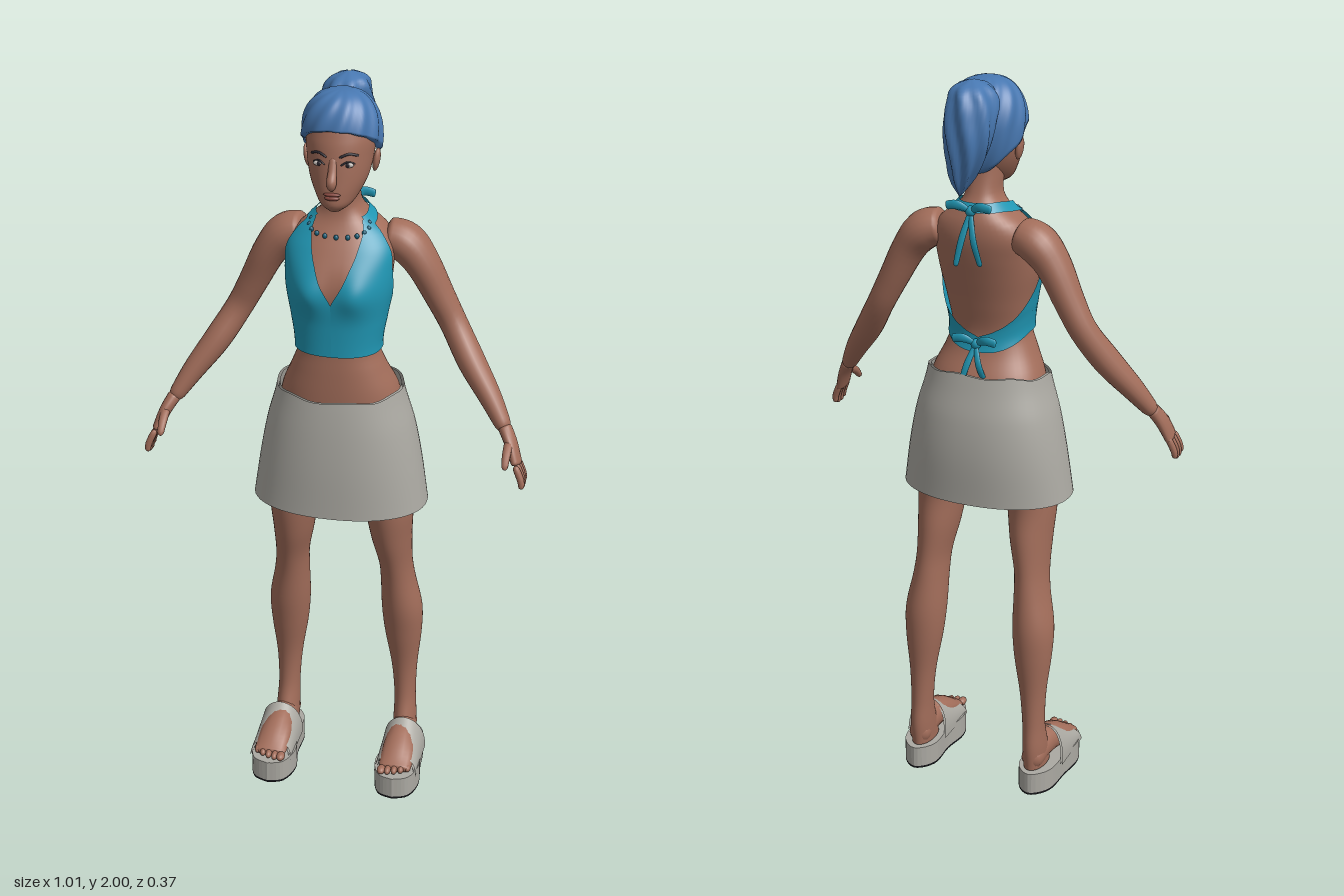
import * as THREE from 'three';

const mat = (name, color, side = THREE.FrontSide) => {
  const m = new THREE.MeshStandardMaterial({ color, side });
  m.name = name;
  return m;
};
const V = (x, y, z) => new THREE.Vector3(x, y, z);
const lerp = THREE.MathUtils.lerp, smooth = THREE.MathUtils.smoothstep;

// Smooth interpolation of rows [key, ...values] along the key
function profile(rows) {
  const slope = (i, k) => {
    const a = rows[Math.max(i - 1, 0)], b = rows[Math.min(i + 1, rows.length - 1)];
    return (b[k] - a[k]) / (b[0] - a[0]);
  };
  return y => {
    let i = 0;
    while (i < rows.length - 2 && y > rows[i + 1][0]) i++;
    const a = rows[i], b = rows[i + 1], h = b[0] - a[0];
    const t = THREE.MathUtils.clamp((y - a[0]) / h, 0, 1), t2 = t * t, t3 = t2 * t;
    return a.slice(1).map((p, k) => p * (2 * t3 - 3 * t2 + 1) + b[k + 1] * (3 * t2 - 2 * t3)
      + h * slope(i, k + 1) * (t3 - 2 * t2 + t) + h * slope(i + 1, k + 1) * (t3 - t2));
  };
}

// Surface from a rule fn(u, v); u runs around, v along
function grid(name, material, fn, nu, nv, closed = true) {
  const pos = [], idx = [], cols = closed ? nu : nu + 1;
  for (let j = 0; j <= nv; j++) for (let i = 0; i < cols; i++) pos.push(...fn(i / nu, j / nv).toArray());
  for (let j = 0; j < nv; j++) for (let i = 0; i < nu; i++) {
    const a = j * cols + i, b = j * cols + (i + 1) % cols;
    idx.push(a, b, b + cols, a, b + cols, a + cols);
  }
  const g = new THREE.BufferGeometry();
  g.setAttribute('position', new THREE.Float32BufferAttribute(pos, 3));
  g.setIndex(idx);
  g.computeVertexNormals();
  const m = new THREE.Mesh(g, material);
  m.name = name;
  return m;
}

// Point on a horizontal ring [centreX, radiusX, frontZ, backZ]
function ring([cx, rx, zf, zb], y, a, off = 0, n = 2) {
  const pw = c => Math.sign(c) * Math.abs(c) ** (2 / n);
  return V(cx + (rx + off) * pw(Math.sin(a)), y, (zf + zb) / 2 + ((zf - zb) / 2 + off) * pw(Math.cos(a)));
}
function rings(name, material, rows, n = 2, ripple = () => 0) {
  const at = profile(rows), y0 = rows[0][0], y1 = rows[rows.length - 1][0];
  return grid(name, material, (u, v) => {
    const y = lerp(y0, y1, v), a = u * Math.PI * 2;
    return ring(at(y), y, a, ripple(a, y), n);
  }, 48, 48);
}

// Round-ended limb along points [x, y, z, radius towards ref, radius across]
function limb(name, material, pts, s = 1, ref = V(0, 0, 1), nu = 16, nv = 24, cap = 0.06) {
  const path = new THREE.CatmullRomCurve3(pts.map(p => V(s * p[0], p[1], p[2])), false, 'catmullrom');
  const rad = new THREE.CatmullRomCurve3(pts.map(p => V(p[3], p[4] ?? p[3], 0)), false, 'catmullrom');
  return grid(name, material, (u, v) => {
    const t = (1 - Math.cos(Math.PI * v)) / 2, e = Math.min(1, Math.min(t, 1 - t) / cap);
    const k = Math.sqrt(Math.max(1e-5, 1 - (1 - e) ** 2)), T = path.getTangent(t), r = rad.getPoint(t);
    const A = ref.clone().addScaledVector(T, -ref.dot(T)).normalize(), B = T.clone().cross(A);
    const a = u * Math.PI * 2;
    return path.getPoint(t).addScaledVector(A, k * r.x * Math.cos(a)).addScaledVector(B, k * r.y * Math.sin(a));
  }, nu, nv);
}
function ball(name, material, p, rx, ry, rz) {
  const m = new THREE.Mesh(new THREE.SphereGeometry(1, 16, 12), material);
  m.name = name;
  m.position.copy(p);
  m.scale.set(rx, ry, rz);
  return m;
}

export function createModel() {
  const model = new THREE.Group();
  model.name = 'woman';
  const add = (...m) => model.add(...m);
  const skin = mat('skin', 0xa26d5a), hair = mat('hair blue', 0x4777b0);
  const teal = mat('teal cloth', 0x2096b3, THREE.DoubleSide), grey = mat('light grey', 0xaba9a2, THREE.DoubleSide);
  const black = mat('black rubber', 0x17171b), dark = mat('dark brow', 0x2c2830), white = mat('eye white', 0xcfc8c2);
  const lip = mat('lips', 0x85483f), bead = mat('bead blue', 0x1b5f78);

  // Torso and neck
  const torsoAt = profile([[0.92, 0, 0.15, 0.08, -0.09], [1.0, 0, 0.17, 0.12, -0.12], [1.1, 0, 0.17, 0.13, -0.12],
    [1.2, 0, 0.152, 0.133, -0.092], [1.27, 0, 0.122, 0.132, -0.055], [1.32, 0, 0.105, 0.13, -0.045],
    [1.4, 0, 0.115, 0.131, -0.06], [1.48, 0, 0.13, 0.134, -0.08], [1.54, 0, 0.135, 0.122, -0.095],
    [1.59, 0, 0.135, 0.095, -0.103], [1.63, 0, 0.11, 0.068, -0.1], [1.66, 0, 0.07, 0.052, -0.088],
    [1.69, 0, 0.047, 0.046, -0.07], [1.74, 0, 0.044, 0.05, -0.056], [1.8, 0, 0.044, 0.05, -0.05]]);
  const torsoPoint = (a, y, off = 0) => {
    const p = ring(torsoAt(y), y, a, off, 2.3);
    if (Math.cos(a) > 0) p.z += 0.02 * Math.cos(a) * Math.exp(-(((Math.abs(p.x) - 0.065) / 0.045) ** 2) - ((y - 1.49) / 0.05) ** 2);
    return p;
  };
  add(grid('torso', skin, (u, v) => torsoPoint(u * Math.PI * 2, lerp(0.92, 1.8, v)), 48, 72));

  // Halter top: each row runs from the neckline to the open back
  const edge = profile([[1.32, 0, Math.PI], [1.36, 0, Math.PI], [1.39, 0, 2.3], [1.43, 0, 1.8], [1.465, 0, 1.6],
    [1.52, 0.17, 1.38], [1.57, 0.3, 1.22], [1.61, 0.42, 1.1], [1.64, 0.6, 1.1], [1.66, 0.8, 1.25]]);
  for (const s of [1, -1]) {
    add(grid('halterTop', teal, (u, v) => {
      const y = lerp(1.32, 1.66, v), [a, b] = edge(y);
      const t = Math.max(0, s > 0 ? lerp(a, b, u) : lerp(b, a, u));
      return torsoPoint(s * t, y - 0.045 * smooth(t, 1.5, 3.1), 0.009);
    }, 30, 40, false));
    add(grid('neckStrap', teal, (u, v) => {
      const t = s > 0 ? lerp(0.85, Math.PI, u) : lerp(Math.PI, 0.85, u);
      return torsoPoint(s * t, 1.645 + 0.015 * smooth(t, 0.8, 2.2) + 0.022 * v, 0.009);
    }, 24, 3, false));
  }

  // Bows at the neck and lower back
  for (const [y, z, len] of [[1.665, -0.1, 0.14], [1.3, -0.068, 0.1]]) {
    add(ball('bowKnot', teal, V(0, y, z), 0.014, 0.014, 0.012));
    for (const s of [1, -1]) {
      add(limb('bowLoop', teal, [[0, y, z, 0.005, 0.006], [0.03, y + 0.016, z - 0.012, 0.006, 0.012],
        [0.062, y + 0.012, z - 0.012, 0.006, 0.011]], s));
      add(limb('bowTail', teal, [[0, y, z, 0.004, 0.006], [0.016, y - len * 0.5, z - 0.02, 0.004, 0.009],
        [0.03, y - len, z - 0.018 - 0.01 * s, 0.004, 0.007]], s));
    }
  }

  // Beaded necklace
  for (let i = -5; i <= 5; i++) {
    const a = i * 0.2;
    add(ball('necklaceBead', bead, torsoPoint(a, 1.622 + 0.028 * (i / 5) ** 2, 0.004), 0.006, 0.007, 0.006));
  }

  // Skirt, open at the hem with a slightly uneven waist
  const skirtAt = profile([[0.87, 0, 0.235, 0.175, -0.138], [1.0, 0, 0.215, 0.171, -0.14], [1.1, 0, 0.195, 0.163, -0.13],
    [1.18, 0, 0.172, 0.152, -0.11], [1.24, 0, 0.16, 0.14, -0.095]]);
  const skirt = (name, off) => grid(name, grey, (u, v) => {
    const a = u * Math.PI * 2, y = lerp(0.87, 1.207 - 0.013 * Math.cos(a) + 0.003 * Math.sin(7 * a), v);
    return ring(skirtAt(y), y, a, off, 2.2);
  }, 56, 24);
  add(skirt('skirt', 0), skirt('skirtLining', -0.007));

  for (const s of [1, -1]) {
    // Legs and feet
    add(rings('leg', skin, [[0.07, 0.172, 0.031, 0.02, -0.1], [0.13, 0.172, 0.032, 0.0, -0.105], [0.2, 0.17, 0.03, -0.02, -0.1],
      [0.3, 0.167, 0.036, -0.02, -0.1], [0.42, 0.163, 0.052, 0.002, -0.109], [0.5, 0.16, 0.056, 0.018, -0.11],
      [0.6, 0.15, 0.047, 0.033, -0.097], [0.66, 0.145, 0.045, 0.048, -0.09], [0.75, 0.136, 0.055, 0.078, -0.086],
      [0.85, 0.131, 0.065, 0.1, -0.078], [0.97, 0.12, 0.07, 0.11, -0.1]].map(r => [r[0], s * r[1], ...r.slice(2)])));
    add(limb('foot', skin, [[0.172, 0.095, -0.1, 0.035, 0.03], [0.175, 0.11, 0, 0.042, 0.035], [0.178, 0.1, 0.07, 0.034, 0.045],
      [0.18, 0.083, 0.125, 0.02, 0.046], [0.18, 0.078, 0.15, 0.012, 0.042]], s, V(0, 1, 0)));
    for (let i = 0; i < 5; i++)
      add(ball('toe', skin, V(s * (0.145 + i * 0.0178), 0.079, 0.158 - i * i * 0.0016), i ? 0.009 : 0.012, 0.011, 0.018));

    // Platform slides
    const out = [[0.18, 0.18], [0.222, 0.16], [0.241, 0.1], [0.232, 0.02], [0.222, -0.07], [0.175, -0.114],
      [0.13, -0.07], [0.128, 0.02], [0.116, 0.1], [0.137, 0.163]].map(p => new THREE.Vector2(s * p[0], -p[1]));
    const shape = new THREE.Shape(new THREE.SplineCurve([...out, out[0]]).getPoints(50));
    for (const [name, m, y, h] of [['soleUnderside', black, 0, 0.006], ['platformSole', grey, 0.006, 0.06]]) {
      const g = new THREE.ExtrudeGeometry(shape, { depth: h, bevelEnabled: false }).rotateX(-Math.PI / 2);
      const mesh = new THREE.Mesh(g, m);
      mesh.name = name;
      mesh.position.y = y;
      add(mesh);
    }
    for (const off of [0, -0.006]) add(grid('shoeStrap', grey, (u, v) => {
      const a = u * Math.PI, k = Math.sin(a);
      return V(s * 0.18 + (0.059 + off) * Math.cos(a), 0.055 + (lerp(0.05, 0.105, v) + off) * k ** 0.8,
        lerp(0.14 - 0.025 * k, -0.015 + 0.025 * k, v));
    }, 24, 10, false));

    // Arms and hands
    add(limb('arm', skin, [[0.1, 1.6, -0.03, 0.05, 0.045], [0.155, 1.582, -0.035, 0.06, 0.052], [0.2, 1.53, -0.035, 0.055, 0.045],
      [0.247, 1.44, -0.04, 0.045, 0.039], [0.287, 1.365, -0.037, 0.039, 0.036], [0.34, 1.28, -0.003, 0.041, 0.036],
      [0.398, 1.2, 0.035, 0.033, 0.029], [0.447, 1.125, 0.072, 0.021, 0.019]], s, undefined, 20, 48, 0.04));
    add(limb('palm', skin, [[0.44, 1.14, 0.066, 0.02, 0.018], [0.463, 1.1, 0.088, 0.028, 0.016], [0.483, 1.05, 0.107, 0.031, 0.013]], s));
    for (let i = 0; i < 4; i++) {
      const z = 0.083 + i * 0.016, tip = 0.99 + 0.006 * Math.abs(i - 1.5);
      add(limb('finger', skin, [[0.48, 1.06, z, 0.009], [0.497, 1.022, z + 0.006, 0.009], [0.5, tip, z + 0.009, 0.007]], s, undefined, 10, 12, 0.15));
    }
    add(limb('thumb', skin, [[0.458, 1.11, 0.095, 0.012], [0.457, 1.087, 0.135, 0.011], [0.457, 1.06, 0.162, 0.008]], s, V(0, 1, 0), 10, 12, 0.15));
  }

  // Head
  const headRows = [[1.7, 0, 0.015, 0.105, 0.07], [1.715, 0, 0.038, 0.122, 0.02], [1.74, 0, 0.056, 0.124, -0.02],
    [1.78, 0, 0.074, 0.12, -0.05], [1.83, 0, 0.084, 0.114, -0.072], [1.88, 0, 0.088, 0.104, -0.078],
    [1.93, 0, 0.077, 0.082, -0.07], [1.97, 0, 0.035, 0.03, -0.03]];
  add(rings('head', skin, headRows));
  const headAt = profile(headRows);
  const face = (x, y, off = 0) => {
    const h = headAt(y);
    return V(x, y, (h[2] + h[3]) / 2 + (h[2] - h[3]) / 2 * Math.sqrt(1 - (x / h[1]) ** 2) + off);
  };
  add(limb('nose', skin, [[0, 1.84, 0.104, 0.01, 0.008], [0, 1.805, 0.119, 0.011, 0.009], [0, 1.78, 0.129, 0.013, 0.014],
    [0, 1.769, 0.12, 0.008, 0.012]], 1, V(1, 0, 0)));
  add(ball('upperLip', lip, face(0, 1.75, -0.001), 0.022, 0.005, 0.007), ball('lowerLip', lip, face(0, 1.741, -0.001), 0.019, 0.006, 0.008));
  for (const s of [1, -1]) {
    add(ball('eye', white, face(s * 0.036, 1.823, -0.002), 0.015, 0.007, 0.005));
    add(ball('iris', dark, face(s * 0.036, 1.823, 0.001), 0.006, 0.006, 0.003));
    const curve = (name, list, r) => limb(name, dark, list.map(([x, y]) => [...face(x, y, 0.001).toArray(), r]), s, undefined, 8, 12);
    add(curve('eyelid', [[0.02, 1.823], [0.036, 1.831], [0.053, 1.824]], 0.0022));
    add(curve('eyebrow', [[0.016, 1.842], [0.038, 1.85], [0.06, 1.843]], 0.0032));
    const ear = ball('ear', skin, V(s * 0.088, 1.81, 0.008), 0.009, 0.03, 0.018);
    ear.rotation.z = -s * 0.15;
    add(ear);
  }

  // Swept-up hair with combed ridges, lower at the nape
  add(grid('hairCap', hair, (u, v) => {
    const a = u * Math.PI * 2, c = Math.cos(a), low = 1.84 + 0.075 * c - 0.015 * c * c;
    const ry = q => (q < 0 ? 0.16 : 0.116);
    const p0 = Math.acos((low - 1.87) / ry(low - 1.87)), p = p0 * (1 - v), q = Math.cos(p);
    const r = 0.101 * Math.sin(p) ** 0.75 * (1 + 0.03 * Math.sin(11 * a + 5 * p)) * (v === 0 ? 0.86 : 1);
    return V(r * Math.sin(a), 1.87 + ry(q) * q, 0.01 + r * c);
  }, 88, 32));
  // Ponytail
  add(rings('ponytail', hair, [[1.715, 0.01, 0.003, -0.138, -0.145], [1.75, 0.005, 0.024, -0.12, -0.165],
    [1.8, -0.005, 0.044, -0.105, -0.18], [1.85, -0.01, 0.058, -0.095, -0.186], [1.9, -0.01, 0.064, -0.075, -0.184],
    [1.95, -0.01, 0.06, -0.035, -0.174], [1.985, -0.005, 0.042, -0.05, -0.15], [2.0, -0.005, 0.004, -0.095, -0.105]], 2,
  (a, y) => 0.005 * Math.sin(7 * a + 25 * y) * Math.min(1, (y - 1.715) / 0.05, (2 - y) / 0.03)));
  return model;
}
